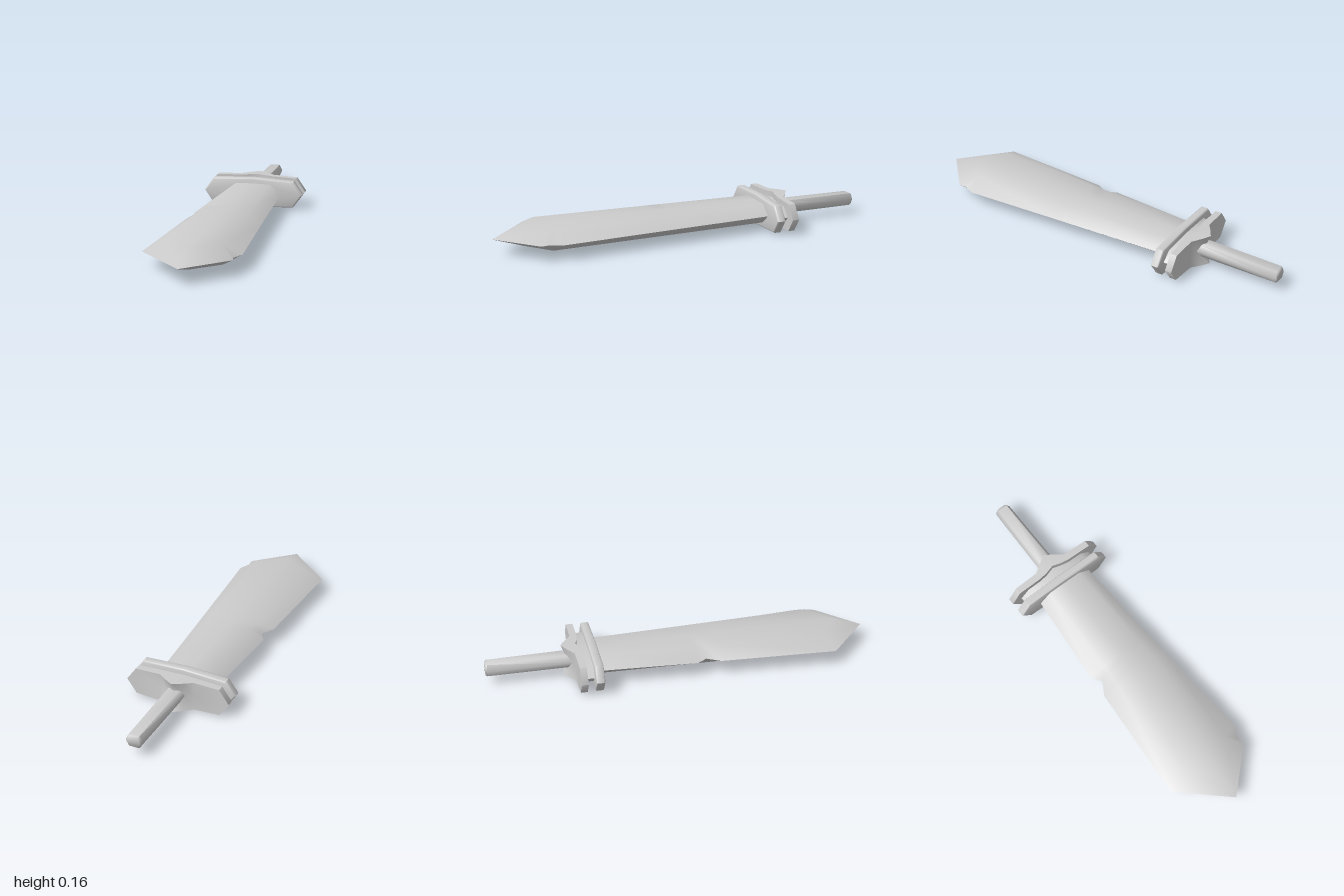
import * as THREE from 'three';
import { toCreasedNormals } from 'three/addons/utils/BufferGeometryUtils.js';

const MID = 0.085; // height of the sword's central plane
const material = new THREE.MeshStandardMaterial({ color: 0xcccccc });

function part(name, geometry, crease = 0.9) {
  const mesh = new THREE.Mesh(toCreasedNormals(geometry, crease), material);
  mesh.name = name;
  return mesh;
}

// Skins closed rings of [x, y, z] points and caps both ends
function loft(rings) {
  const n = rings[0].length, index = [];
  for (let i = 0; i < rings.length - 1; i++) {
    for (let j = 0; j < n; j++) {
      const a = i * n + j, b = i * n + (j + 1) % n;
      index.push(a, b, b + n, a, b + n, a + n);
    }
  }
  const end = (rings.length - 1) * n;
  for (let j = 1; j < n - 1; j++) index.push(0, j + 1, j, end, end + j, end + j + 1);
  const g = new THREE.BufferGeometry();
  g.setAttribute('position', new THREE.Float32BufferAttribute(rings.flat(2), 3));
  g.setIndex(index);
  return g;
}

// Blade ring: cutting edges L and R, flat corners FL and FR (each [x, z]), centre at z = c
function bladeRing(L, FL, c, FR, R, h = 0.05) {
  const crown = h * 1.04;
  return [
    [R[0], MID, R[1]], [FR[0], MID + h, FR[1]], [0, MID + crown, c], [FL[0], MID + h, FL[1]],
    [L[0], MID, L[1]], [FL[0], MID - h, FL[1]], [0, MID - crown, c], [FR[0], MID - h, FR[1]],
  ];
}

function makeBlade() {
  const rings = [];
  // Body, with a nick in the right-hand edge
  for (const [z, left] of [[-0.44, -0.157], [0.06, -0.195], [0.11, -0.162], [0.18, -0.202]]) {
    const t = (z + 0.44) / 1.18;
    const flat = 0.095 + 0.043 * t;
    rings.push(bladeRing([left, z], [-flat, z], z, [flat, z], [0.157 + 0.071 * t, z]));
  }
  // Shoulders, with a chipped left corner, then the point
  for (const chip of [[0.228, 0.71], [0.2, 0.77], [0.205, 0.81]]) {
    rings.push(bladeRing([-0.24, 0.78], [-0.138, 0.75], 0.84, [0.138, 0.73], chip));
  }
  const tip = [0, 1];
  rings.push(bladeRing(tip, tip, 1, tip, tip, 0));
  return part('blade', loft(rings));
}

// Eight-sided plate extruded between two depths
function makePlate(name, edge, shoulder, h, crown, back, front, bevel) {
  const s = new THREE.Shape([
    [edge, 0], [shoulder, h], [0, crown], [-shoulder, h],
    [-edge, 0], [-shoulder, -h], [0, -crown], [shoulder, -h],
  ].map(([x, y]) => new THREE.Vector2(x, y)));
  const g = new THREE.ExtrudeGeometry(s, {
    depth: front - back - 2 * bevel, bevelEnabled: bevel > 0,
    bevelSize: bevel, bevelOffset: -bevel, bevelThickness: bevel, bevelSegments: 2,
  });
  g.translate(0, MID, back + bevel);
  return part(name, g);
}

// Rear guard plate, rising to a ridge above and below the grip
function makeRearGuard() {
  // x, half height, back z at the rims, back z at mid height, front z
  const half = [
    [0, 0.082, -0.612, -0.58, -0.535],
    [0.045, 0.08, -0.585, -0.565, -0.522],
    [0.09, 0.078, -0.553, -0.55, -0.515],
    [0.225, 0.072, -0.55, -0.55, -0.515],
    [0.275, 0.001, -0.55, -0.55, -0.515],
  ];
  const columns = [...half.slice(1).reverse().map(([x, ...r]) => [-x, ...r]), ...half];
  return part('rearGuard', loft(columns.map(([x, h, rim, mid, front]) => [
    [x, MID - h, rim], [x, MID, mid], [x, MID + h, rim],
    [x, MID + h, front], [x, MID - h, front],
  ])));
}

// Six-sided grip with softened end
function makeGrip() {
  const rows = [[-1, 0.038, 0.027], [-0.99, 0.043, 0.033], [-0.53, 0.049, 0.034]];
  return part('grip', loft(rows.map(([z, w, h]) => [
    [w, MID, z], [w * 0.62, MID + h, z], [-w * 0.62, MID + h, z],
    [-w, MID, z], [-w * 0.62, MID - h, z], [w * 0.62, MID - h, z],
  ])), 1.1);
}

export function createModel() {
  const sword = new THREE.Group();
  sword.name = 'sword';
  sword.add(
    makeBlade(),
    makePlate('frontGuard', 0.275, 0.225, 0.072, 0.082, -0.475, -0.43, 0.008),
    makePlate('guardCore', 0.22, 0.17, 0.046, 0.052, -0.54, -0.46, 0),
    makeRearGuard(),
    makeGrip(),
  );
  return sword;
}
